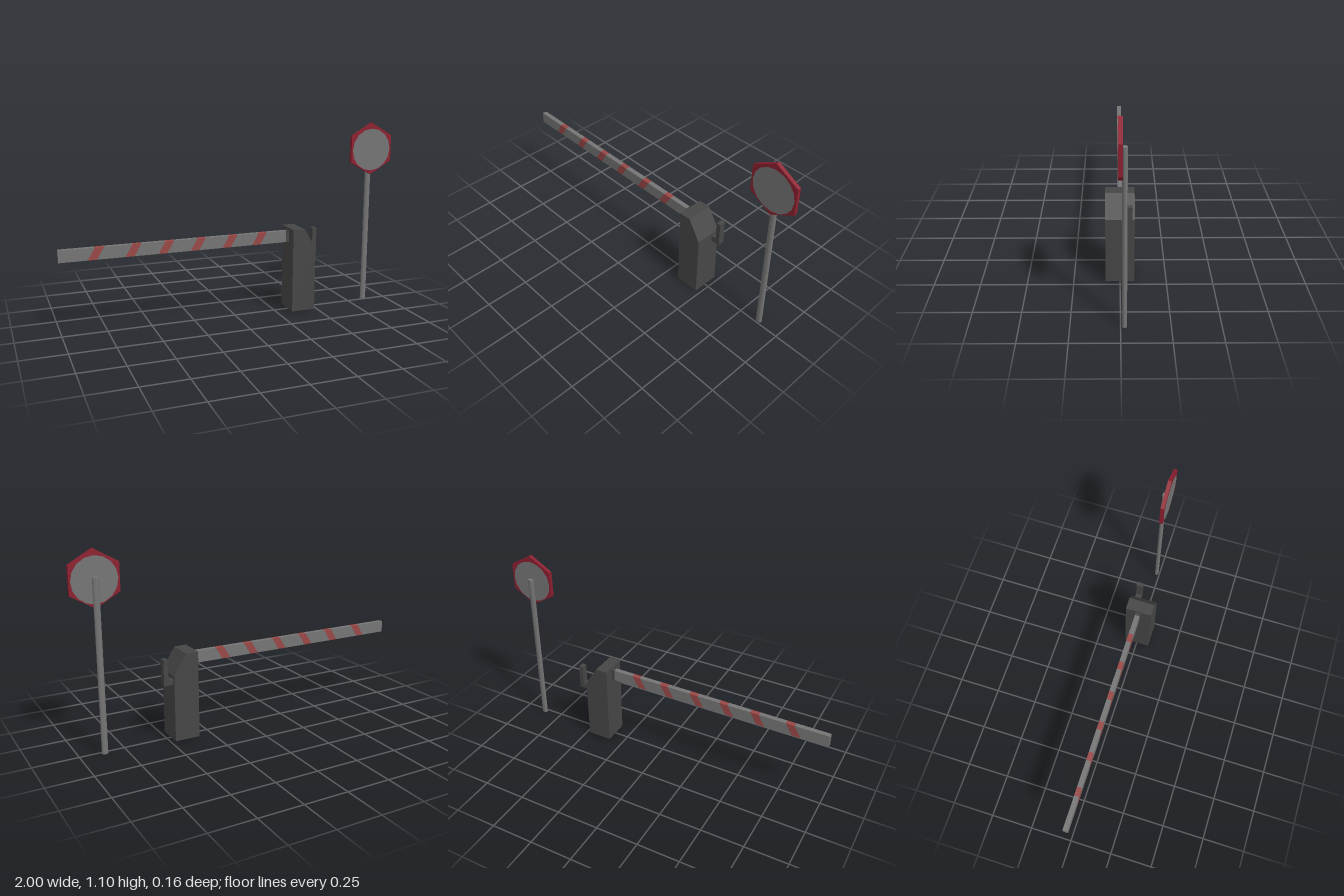
import * as THREE from 'three';

const material = (name, color) => {
  const m = new THREE.MeshStandardMaterial({ color });
  m.name = name;
  return m;
};

export function createModel() {
  const root = new THREE.Group();
  root.name = 'barrierGate';
  const grey = material('paintedGrey', 0x757575);
  const dark = material('darkMetal', 0x464646);
  const red = material('signRed', 0x8c2030);
  const stripeRed = material('stripeRed', 0x994846);

  const add = (name, geometry, mat, parent = root) => {
    const mesh = new THREE.Mesh(geometry, mat);
    mesh.name = name;
    parent.add(mesh);
    return mesh;
  };
  // Front outline extruded between two z planes
  const slab = (points, z0, z1) => {
    const shape = new THREE.Shape(points.map(([x, y]) => new THREE.Vector2(x, y)));
    return new THREE.ExtrudeGeometry(shape, { depth: z1 - z0, bevelEnabled: false }).translate(0, 0, z0);
  };

  // Cabinet with sloped shoulder
  add('cabinet', slab([[0.333, 0.006], [0.478, 0.006], [0.478, 0.382], [0.405, 0.502], [0.333, 0.502]], -0.077, 0.078), dark);

  // L-shaped crank handle
  add('handle', slab([[0.47, 0.332], [0.533, 0.332], [0.533, 0.479], [0.507, 0.479], [0.507, 0.365], [0.47, 0.365]], -0.064, -0.027), dark);

  // Arm cut into slanted grey and red sections
  const arm = new THREE.Group();
  arm.name = 'arm';
  root.add(arm);
  const yLow = 0.418, yHigh = 0.486, zBack = -0.015, zFront = 0.013;
  const slant = 0.02, half = 0.025;
  const section = (name, a, b, mat) => add(name,
    slab([[a[0], yLow], [b[0], yLow], [b[1], yHigh], [a[1], yHigh]], zBack, zFront), mat, arm);
  let start = [-1, -1];
  for (const x of [-0.8, -0.595, -0.41, -0.225, -0.035, 0.147]) {
    const a = [x - half - slant, x - half + slant];
    const b = [x + half - slant, x + half + slant];
    section('armSection', start, a, grey);
    section('armStripe', a, b, stripeRed);
    start = b;
  }
  section('armSection', start, [0.32, 0.32], grey);
  add('armCollar', new THREE.BoxGeometry(0.03, 0.07, 0.03).translate(0.331, 0.452, -0.001), dark);

  // Sign post
  const post = add('signPost', new THREE.CylinderGeometry(0.018, 0.018, 0.957, 12), grey);
  post.scale.z = 0.7;
  post.position.set(0.865, 0.4785, -0.0195);

  // Hexagonal sign with a round panel on each side
  const sign = new THREE.Group();
  sign.name = 'sign';
  sign.position.set(0.8665, 0.946, 0.0015);
  root.add(sign);
  const hexagon = Array.from({ length: 6 }, (_, i) => {
    const t = Math.PI / 6 + i * Math.PI / 3;
    return [0.154 * Math.cos(t), 0.154 * Math.sin(t)];
  });
  add('signPlate', slab(hexagon, -0.0105, 0.0105), red, sign);
  for (const side of [1, -1]) {
    const panel = add('signPanel', new THREE.CircleGeometry(0.125, 16), grey, sign);
    panel.position.set(0, -0.006, side * 0.0115);
    if (side < 0) panel.rotation.y = Math.PI;
  }
  return root;
}
